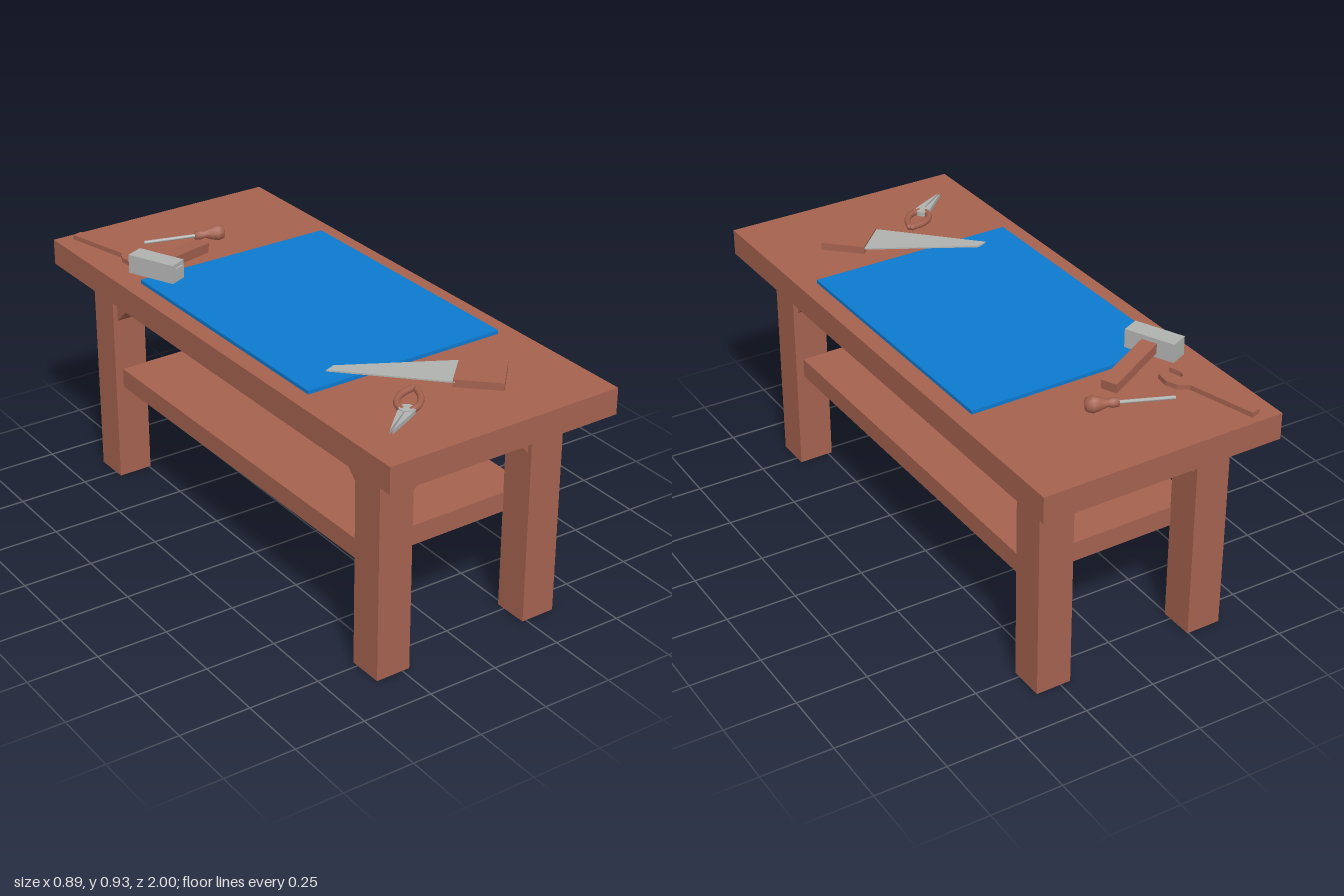
import * as THREE from 'three';

export function createModel() {
  const model = new THREE.Group();
  model.name = 'workbench';
  const mat = (name, color) => {
    const m = new THREE.MeshStandardMaterial({ color });
    m.name = name;
    return m;
  };
  const wood = mat('brown wood', 0xa5624f);
  const blue = mat('blue mat', 0x0d7acf);
  const steel = mat('grey steel', 0xb0b2b0);

  const add = (parent, name, geo, material, x = 0, y = 0, z = 0) => {
    const m = new THREE.Mesh(geo, material);
    m.name = name;
    m.position.set(x, y, z);
    parent.add(m);
    return m;
  };
  const group = (name) => {
    const g = new THREE.Group();
    g.name = name;
    model.add(g);
    return g;
  };
  // flat plate from a plan outline of [x, z] points
  const toPts = (pts) => pts.map(([x, z]) => new THREE.Vector2(x, -z));
  const plate = (pts, height, hole) => {
    const s = new THREE.Shape(toPts(pts));
    if (hole) s.holes.push(new THREE.Path(toPts(hole)));
    return new THREE.ExtrudeGeometry(s, { depth: height, bevelEnabled: false }).rotateX(-Math.PI / 2);
  };

  // Bench, turned very slightly
  const bench = group('bench');
  bench.rotation.y = 0.0136;
  add(bench, 'tableTop', new THREE.BoxGeometry(0.866, 0.092, 1.985), wood, 0, 0.806, 0);
  add(bench, 'shelf', new THREE.BoxGeometry(0.65, 0.07, 1.45), wood, -0.005, 0.39, 0);
  add(bench, 'cuttingMat', new THREE.BoxGeometry(0.74, 0.014, 0.99), blue, 0, 0.858, -0.005);

  // Legs, each with two diagonal braces
  const legGeo = new THREE.BoxGeometry(0.125, 0.765, 0.125).translate(0, 0.3825, 0);
  const brace = new THREE.Shape([[0, 0.615], [0.16, 0.762], [0.052, 0.762], [0, 0.714]]
    .map(([x, y]) => new THREE.Vector2(x, y)));
  const braceGeo = new THREE.ExtrudeGeometry(brace, { depth: 0.09, bevelEnabled: false })
    .translate(0.06, 0, -0.045);
  for (const sx of [-1, 1]) for (const sz of [-1, 1]) {
    const x = sx * 0.292 - 0.005, z = sz * 0.785;
    add(bench, 'leg', legGeo, wood, x, 0, z);
    add(bench, 'crossBrace', braceGeo, wood, x, 0, z).rotation.y = sx > 0 ? Math.PI : 0;
    add(bench, 'longBrace', braceGeo, wood, x, 0, z).rotation.y = sz * Math.PI / 2;
  }

  // Hammer: head along local z, sloping handle along local x
  const hammer = group('hammer');
  hammer.position.set(-0.315, 0.9, -0.495);
  hammer.rotation.y = 0.43;
  add(hammer, 'hammerHead', new THREE.BoxGeometry(0.066, 0.066, 0.18), steel);
  add(hammer, 'hammerFace', new THREE.BoxGeometry(0.036, 0.036, 0.008), steel, 0, 0, 0.092);
  add(hammer, 'hammerHandle', new THREE.BoxGeometry(0.27, 0.034, 0.056), wood, 0.14, -0.013, 0)
    .rotation.z = -0.12;

  // Open-ended wrench
  const half = [[0, 0.018], [0.24, 0.02], [0.27, 0.046], [0.31, 0.052], [0.355, 0.034],
    [0.355, 0.02], [0.31, 0.022], [0.292, 0.01]];
  const outline = [...half, ...half.map(([u, v]) => [u, -v]).reverse()];
  add(model, 'wrench', plate(outline.map(([u, v]) =>
    [-0.37 + u * 0.266 + v * 0.964, -0.955 + u * 0.964 - v * 0.266]), 0.018), wood, 0, 0.851, 0);

  // Screwdriver, running along local y before being laid down
  const driver = group('screwdriver');
  driver.position.set(-0.21, 0.865, -0.76);
  driver.quaternion.setFromUnitVectors(new THREE.Vector3(0, 1, 0),
    new THREE.Vector3(0.275, 0.01, 0.095).normalize());
  add(driver, 'screwdriverShaft', new THREE.CylinderGeometry(0.006, 0.006, 0.19, 8), steel, 0, 0.095, 0);
  const grip = [[0, 0.18], [0.014, 0.18], [0.016, 0.2], [0.012, 0.215], [0.022, 0.24], [0.028, 0.262],
    [0.022, 0.283], [0, 0.29]].map(([r, y]) => new THREE.Vector2(r, y));
  add(driver, 'screwdriverGrip', new THREE.LatheGeometry(grip, 10), wood);

  // Saw: tapered blade and a handle with a toothed finger hole
  add(model, 'sawBlade', plate([[-0.246, 0.42], [-0.209, 0.405], [0.14, 0.595], [0.035, 0.705]], 0.005),
    steel, 0, 0.866, 0);
  const hole = [[0.07, 0.717], [0.093, 0.648], [0.172, 0.648], [0.21, 0.69], [0.16, 0.76]];
  for (let i = 1; i < 8; i++) {
    const t = i / 8, k = i % 2 ? 0.014 : 0;
    hole.push([0.16 - 0.09 * t + k * 0.43, 0.76 - 0.043 * t - k * 0.9]);
  }
  add(model, 'sawHandle', plate([[0.14, 0.59], [0.25, 0.695], [0.145, 0.81], [0.03, 0.7]], 0.026, hole),
    wood, 0, 0.852, 0);

  // Pliers: two pointed jaws, a pivot and two curved grips
  const pliers = group('pliers');
  add(pliers, 'pliersJaw', plate([[-0.306, 0.838], [-0.215, 0.75], [-0.18, 0.735], [-0.19, 0.757]], 0.014),
    steel, 0, 0.852, 0);
  add(pliers, 'pliersJaw', plate([[-0.3, 0.844], [-0.188, 0.76], [-0.165, 0.75], [-0.165, 0.775],
    [-0.2, 0.795]], 0.014), steel, 0, 0.852, 0);
  add(pliers, 'pliersPivot', new THREE.CylinderGeometry(0.024, 0.024, 0.016, 12), steel, -0.185, 0.861, 0.755);
  const grips = [
    [[-0.175, 0.765], [-0.14, 0.755], [-0.105, 0.72], [-0.082, 0.665]],
    [[-0.195, 0.745], [-0.185, 0.705], [-0.145, 0.67], [-0.09, 0.656]],
  ];
  for (const pts of grips) {
    const path = new THREE.CatmullRomCurve3(pts.map(([x, z], i) =>
      new THREE.Vector3(x, 0.86 + i * 0.002, z)));
    add(pliers, 'pliersGrip', new THREE.TubeGeometry(path, 12, 0.011, 8), wood);
    for (const t of [0, 1]) {
      const p = path.getPoint(t);
      add(pliers, 'gripEnd', new THREE.SphereGeometry(0.011, 8, 6), wood, p.x, p.y, p.z);
    }
  }
  return model;
}
